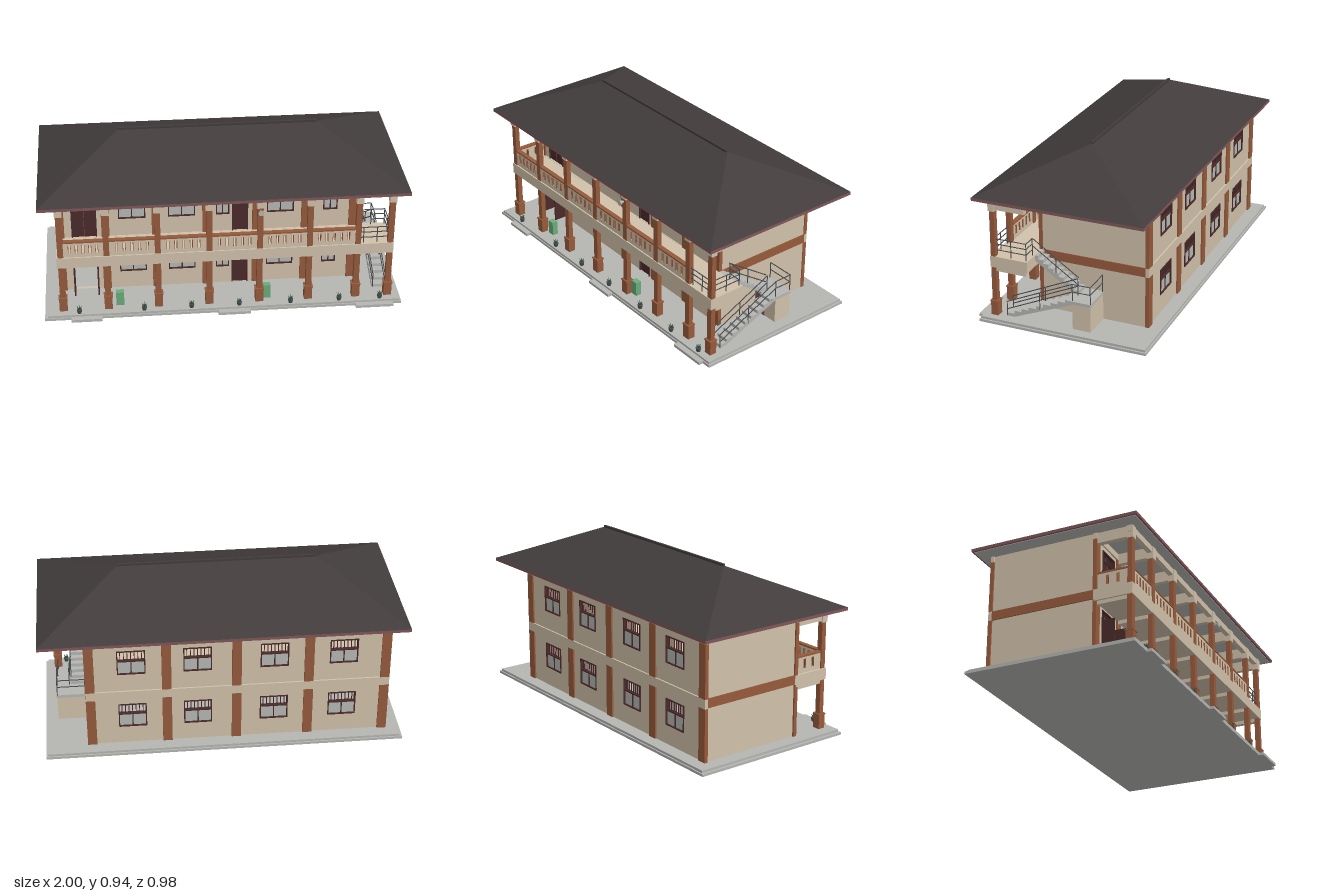
import * as THREE from 'three';

const mat = (name, color) => Object.assign(new THREE.MeshStandardMaterial({ color }), { name });
const M = {
  cream: mat('cream wall', 0xd0c1aa), brick: mat('brick brown', 0x965a3c),
  door: mat('dark red wood', 0x4a2a2a), roof: mat('roof charcoal', 0x423c3c),
  fascia: mat('maroon trim', 0x805658), concrete: mat('concrete', 0xb5b6b2),
  glass: mat('window glass', 0xb4b8b4), green: mat('green bin', 0x6aab7a),
  leaf: mat('plant leaf', 0x2f5a3c), metal: mat('dark metal', 0x4b4d51),
};
M.roof.flatShading = true;

const FLOOR = 0.027, STOREY = 0.345;
const COLUMNS = [-0.892, -0.643, -0.364, -0.083, 0.195, 0.469, 0.737];

export function createModel() {
  const root = new THREE.Group();
  root.name = 'twoStoreyBuilding';

  const add = (name, geo, m, parent = root) => {
    const mesh = new THREE.Mesh(geo, m);
    mesh.name = name;
    parent.add(mesh);
    return mesh;
  };
  // Box given by its limits on each axis
  const box = (name, m, x0, x1, y0, y1, z0, z1, parent) => {
    const mesh = add(name, new THREE.BoxGeometry(x1 - x0, y1 - y0, z1 - z0), m, parent);
    mesh.position.set((x0 + x1) / 2, (y0 + y1) / 2, (z0 + z1) / 2);
    return mesh;
  };
  const rod = (name, a, b, r = 0.0028) => {
    const p = new THREE.Vector3(...a), d = new THREE.Vector3(...b).sub(p);
    const mesh = add(name, new THREE.CylinderGeometry(r, r, d.length(), 6), M.metal);
    mesh.position.copy(p).addScaledVector(d, 0.5);
    mesh.quaternion.setFromUnitVectors(new THREE.Vector3(0, 1, 0), d.normalize());
  };
  const rect = (C, x0, x1, y0, y1) =>
    new C([[x0, y0], [x1, y0], [x1, y1], [x0, y1]].map(p => new THREE.Vector2(...p)));
  // Upright panel with rectangular holes, facing z
  const panel = (x0, x1, y0, y1, holes, depth) => {
    const s = rect(THREE.Shape, x0, x1, y0, y1);
    s.holes = holes.map(h => rect(THREE.Path, ...h));
    return new THREE.ExtrudeGeometry(s, { depth, bevelEnabled: false });
  };

  // Base slabs and entrance steps
  box('baseLower', M.concrete, -0.995, 0.99, 0, 0.014, -0.49, 0.466);
  box('baseUpper', M.concrete, -0.98, 0.98, 0.014, FLOOR, -0.482, 0.46);
  for (const [a, b] of [[-0.85, -0.68], [-0.04, 0.14], [0.73, 0.94]])
    box('entranceStep', M.concrete, a, b, 0, 0.016, 0.46, 0.493);

  // Barred and glazed openings; each unit fills a hole in the wall
  const bars = (g, x0, x1, y0, y1, z) => {
    const n = Math.round((x1 - x0) / 0.02);
    for (let i = 1; i < n; i++) {
      const x = x0 + (x1 - x0) * i / n;
      box('transomBar', M.door, x - 0.0022, x + 0.0022, y0, y1, z - 0.003, z + 0.003, g);
    }
  };
  const frame = (g, x0, x1, y0, y1, z, sill) => {
    const t = 0.006;
    box('frameSide', M.door, x0, x0 + t, y0, y1, z - 0.013, z + 0.013, g);
    box('frameSide', M.door, x1 - t, x1, y0, y1, z - 0.013, z + 0.013, g);
    box('frameTop', M.door, x0, x1, y1 - t, y1, z - 0.013, z + 0.013, g);
    if (sill) box('frameSill', M.door, x0, x1, y0, y0 + t, z - 0.013, z + 0.013, g);
  };
  const group = name => { const g = new THREE.Group(); g.name = name; root.add(g); return g; };
  const addWindow = ([x0, x1, y0, y1], z) => {
    const g = group('window'), mid = y0 + 0.082, c = (x0 + x1) / 2;
    frame(g, x0, x1, y0, y1, z, true);
    box('windowGlass', M.glass, x0, x1, y0, mid, z - 0.004, z + 0.004, g);
    box('windowRail', M.door, x0, x1, mid - 0.003, mid + 0.004, z - 0.01, z + 0.01, g);
    box('windowMullion', M.door, c - 0.003, c + 0.003, y0, mid, z - 0.009, z + 0.009, g);
    bars(g, x0, x1, mid, y1, z);
  };
  const addDoor = ([x0, x1, y0, y1], z, open) => {
    const g = group('door'), head = y0 + 0.208, c = (x0 + x1) / 2;
    frame(g, x0, x1, y0, y1, z, false);
    box('doorHead', M.door, x0, x1, head, head + 0.007, z - 0.01, z + 0.01, g);
    bars(g, x0, x1, head, y1, z);
    if (open) {
      for (const x of [x0 + 0.004, x1 - 0.004])
        box('openDoorLeaf', M.door, x - 0.004, x + 0.004, y0, head, z, 0.276, g);
    } else {
      box('doorLeaf', M.door, x0, x1, y0, head, z - 0.005, z + 0.005, g);
      if (x1 - x0 > 0.1) box('doorSeam', M.fascia, c - 0.001, c + 0.001, y0, head, z, z + 0.007, g);
    }
  };

  // Front and back walls with openings on both storeys
  for (let s = 0; s < 2; s++) {
    const y = FLOOR + s * STOREY, top = s ? 0.703 : y + STOREY;
    const win = (x, w) => [x - w / 2, x + w / 2, y + 0.108, y + 0.257];
    const frontWins = [win(-0.495, 0.15), win(-0.22, 0.15), win(0.008, 0.075), win(0.33, 0.15), win(0.61, 0.08)];
    const doors = [[-0.83, -0.69, y, y + 0.268], [0.06, 0.15, y, y + 0.268]];
    const backWins = [-0.655, -0.275, 0.145, 0.505].map(x => win(x, 0.155));
    const raise = d => [d[0], d[1], d[2] + 0.0005, d[3]];
    add('frontWall', panel(-0.9, 0.75, y, top, [...frontWins, ...doors.map(raise)], 0.02), M.cream).position.z = 0.185;
    add('backWall', panel(-0.9, 0.75, y, top, backWins, 0.02), M.cream).position.z = -0.405;
    frontWins.forEach(w => addWindow(w, 0.197));
    backWins.forEach(w => addWindow(w, -0.397));
    doors.forEach((d, i) => addDoor(d, 0.197, s === 0 && i === 0));

    // Brown pilasters along the front and back walls
    const p1 = s ? 0.665 : 0.32;
    for (const x of COLUMNS)
      box('frontPilaster', M.brick, x - 0.022, x + 0.022, y, p1, 0.193, 0.214);
    for (const x of [-0.888, -0.465, -0.068, 0.315, 0.733])
      box('backPilaster', M.brick, x - 0.026, x + 0.026, y, p1, -0.414, -0.393);
    box('backBeam', M.cream, -0.914, 0.759, p1, s ? 0.703 : 0.372, -0.414, -0.395);
    box('frontBeam', M.cream, -0.914, 0.759, p1, s ? 0.703 : 0.372, 0.195, 0.214);
  }

  // End walls with a brown band at floor level
  for (const [x0, x1] of [[-0.905, -0.885], [0.735, 0.755]]) {
    box('endWall', M.cream, x0, x1, FLOOR, 0.703, -0.4, 0.2);
    box('endBand', M.brick, x0 - 0.006, x1 + 0.006, 0.322, 0.373, -0.395, 0.195);
  }

  // Upper floor, verandah slab and cross beams
  box('upperFloor', M.cream, -0.89, 0.74, 0.32, 0.3715, -0.395, 0.2);
  box('verandahSlab', M.cream, -0.915, 0.935, 0.308, 0.3715, 0.2, 0.415);
  for (const x of [...COLUMNS, 0.918]) {
    box('lowerCrossBeam', M.cream, x - 0.014, x + 0.014, 0.287, 0.31, 0.21, 0.382);
    box('upperCrossBeam', M.cream, x - 0.014, x + 0.014, 0.64, 0.703, 0.21, 0.382);
  }
  box('verandahTopBeam', M.cream, -0.915, 0.935, 0.664, 0.703, 0.384, 0.412);
  box('stairTopBeam', M.cream, 0.75, 0.932, 0.664, 0.703, 0.2, 0.222);

  // Verandah columns with pedestals and capitals
  for (const x of [...COLUMNS, 0.918]) {
    box('column', M.brick, x - 0.016, x + 0.016, FLOOR, 0.632, 0.384, 0.411);
    box('columnPedestal', M.brick, x - 0.022, x + 0.022, FLOOR, 0.105, 0.377, 0.418);
    box('pedestalCap', M.brick, x - 0.025, x + 0.025, 0.105, 0.112, 0.374, 0.421);
    box('columnCapital', M.cream, x - 0.02, x + 0.02, 0.63, 0.703, 0.381, 0.417);
  }

  // Slotted balustrades: bays along the front and one across the far end
  const balustrade = (x0, x1, count) => {
    const g = group('balustrade'), holes = [];
    for (let i = 0; i < count; i++) {
      const x = x0 + (x1 - x0) * (i + 1) / (count + 1);
      holes.push([x - 0.008, x + 0.008, 0.395, 0.448]);
      for (const k of [-1, 1])
        box('slotLining', M.brick, x + k * 0.0068 - 0.0015, x + k * 0.0068 + 0.0015, 0.395, 0.448, -0.0095, 0.0095, g);
    }
    const wall = add('balustradeWall', panel(x0, x1, 0.3715, 0.462, holes, 0.018), M.cream, g);
    wall.position.z = -0.009;
    box('balustradeCap', M.brick, x0, x1, 0.461, 0.47, -0.013, 0.013, g);
    return g;
  };
  for (let i = 0; i < 6; i++)
    balustrade(COLUMNS[i] + 0.014, COLUMNS[i + 1] - 0.014, 5).position.z = 0.398;
  const end = balustrade(-0.088, 0.088, 2);
  end.rotation.y = Math.PI / 2;
  end.position.set(-0.892, 0, 0.3);

  // Metal railing around the stair head
  for (const y of [0.405, 0.438, 0.468]) {
    rod('verandahRail', [0.75, y, 0.398], [0.918, y, 0.398]);
    rod('verandahRail', [0.918, y, 0.39], [0.918, y, 0.212]);
  }
  for (const [x, z] of [[0.768, 0.398], [0.843, 0.398], [0.918, 0.3], [0.918, 0.212], [0.843, 0.212]])
    rod('railPost', [x, 0.37, z], [x, 0.468, z]);
  for (const y of [0.405, 0.438, 0.468]) rod('stairHeadRail', [0.843, y, 0.212], [0.918, y, 0.212]);

  // Two sawtooth stair flights joined by a landing
  const flight = (name, x0, x1, z0, y0, z1, y1, n) => {
    const run = (z1 - z0) / n, rise = (y1 - y0) / n, s = new THREE.Shape();
    s.moveTo(z0, y0);
    for (let i = 0; i < n; i++) {
      s.lineTo(z0 + run * i, y0 + rise * (i + 1));
      s.lineTo(z0 + run * (i + 1), y0 + rise * (i + 1));
    }
    s.lineTo(z1, y1 - 0.022);
    s.lineTo(z0 + run, y0);
    const geo = new THREE.ExtrudeGeometry(s, { depth: x1 - x0, bevelEnabled: false });
    add(name, geo.rotateY(-Math.PI / 2).translate(x1, 0, 0), M.concrete);
  };
  flight('lowerFlight', 0.846, 0.92, 0.333, FLOOR, -0.05, 0.191, 9);
  flight('upperFlight', 0.76, 0.84, -0.05, 0.191, 0.212, 0.3715, 9);
  box('landing', M.concrete, 0.755, 0.925, 0.174, 0.191, -0.155, -0.02);
  box('storeUnderLanding', M.cream, 0.757, 0.92, FLOOR, 0.174, -0.153, -0.05);
  box('storeDoor', M.fascia, 0.765, 0.84, FLOOR, 0.17, -0.05, -0.046);

  // Stair and landing rails
  for (const x of [0.849, 0.918]) {
    for (const d of [0, 0.044]) rod('lowerStairRail', [x, 0.11 - d, 0.333], [x, 0.288 - d, -0.05]);
    for (const [z, y0, y1] of [[0.333, FLOOR, 0.11], [0.14, 0.1, 0.2], [-0.05, 0.19, 0.288]])
      rod('lowerStairPost', [x, y0, z], [x, y1, z]);
  }
  for (const d of [0, 0.044]) {
    rod('upperStairRail', [0.837, 0.466 - d, 0.212], [0.837, 0.288 - d, -0.05]);
    rod('landingSideRail', [0.918, 0.288 - d, -0.05], [0.918, 0.288 - d, -0.152]);
    rod('landingBackRail', [0.762, 0.288 - d, -0.152], [0.918, 0.288 - d, -0.152]);
  }
  rod('upperStairPost', [0.837, 0.28, 0.08], [0.837, 0.376, 0.08]);
  for (const x of [0.762, 0.918]) rod('landingPost', [x, 0.19, -0.152], [x, 0.29, -0.152]);

  // Hipped roof with soffit, fascia and ridge cap
  box('soffit', M.concrete, -0.99, 0.99, 0.7, 0.705, -0.473, 0.467);
  box('fascia', M.fascia, -1, 1, 0.703, 0.72, -0.483, 0.477);
  const a = [-1, 0.72, 0.477], b = [1, 0.72, 0.477], c = [1, 0.72, -0.483], d = [-1, 0.72, -0.483];
  const e = [-0.55, 0.928, -0.003], f = [0.55, 0.928, -0.003];
  const hip = new THREE.BufferGeometry();
  hip.setAttribute('position', new THREE.Float32BufferAttribute(
    [a, b, f, a, f, e, b, c, f, c, d, e, c, e, f, d, a, e].flat(), 3));
  hip.computeVertexNormals();
  add('hippedRoof', hip, M.roof);
  box('ridgeCap', M.roof, -0.55, 0.55, 0.922, 0.937, -0.01, 0.004);

  // Bins, potted plants and horn speaker
  for (const x of [-0.578, 0.239]) box('bin', M.green, x - 0.022, x + 0.022, FLOOR, 0.11, 0.352, 0.386);
  for (const x of [-0.805, -0.447, -0.185, 0.08, 0.367, 0.64, 0.87]) {
    const g = group('pottedPlant');
    g.position.set(x, FLOOR, 0.44);
    add('pot', new THREE.CylinderGeometry(0.015, 0.011, 0.022, 10), M.metal, g).position.y = 0.011;
    for (let i = 0; i < 6; i++) {
      const leaf = add('leaf', new THREE.ConeGeometry(0.005, 0.026, 5), M.leaf, g);
      leaf.rotation.set(0.55, i * Math.PI / 3, 0, 'YXZ');
      leaf.position.set(Math.sin(i * Math.PI / 3) * 0.008, 0.031, Math.cos(i * Math.PI / 3) * 0.008);
    }
  }
  const horn = add('speakerHorn', new THREE.CylinderGeometry(0.016, 0.005, 0.028, 14), M.concrete);
  horn.rotation.x = Math.PI / 2;
  horn.position.set(0.195, 0.615, 0.43);
  return root;
}
